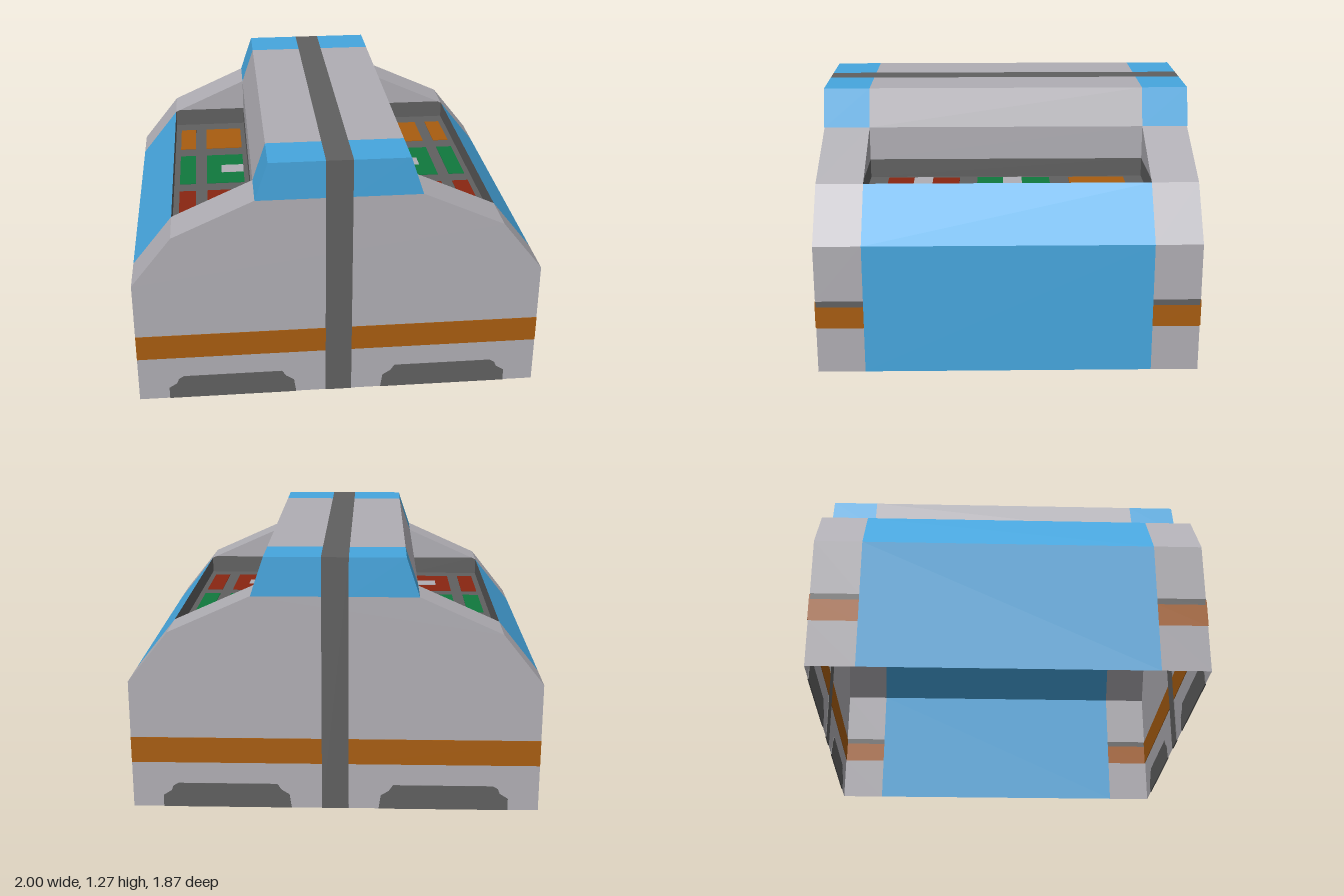
import * as THREE from 'three';

export function createModel() {
  const crate = new THREE.Group();
  crate.name = 'crate';

  const mat = (name, color) => {
    const m = new THREE.MeshStandardMaterial({ color, side: THREE.DoubleSide });
    m.name = name;
    return m;
  };
  const grey = mat('lightGrey', 0xb0aeb4);
  const dark = mat('darkGrey', 0x606060);
  const blue = mat('blue', 0x46a6de);
  const orange = mat('orange', 0xa85d10);
  const green = mat('green', 0x10793e);
  const red = mat('red', 0x892611);

  const HALF = 0.93, INNER = 0.7, FLOOR = 0.815, LIP = 0.91, T = 0.006;

  const add = (parent, name, geometry, material) => {
    const mesh = new THREE.Mesh(geometry, material);
    mesh.name = name;
    parent.add(mesh);
    return mesh;
  };

  // Open sheet swept along z through profile points, on both sides of x = 0
  const strip = (name, pts, z0, z1, material) => {
    const v = [];
    for (const s of [1, -1]) {
      for (let i = 0; i + 1 < pts.length; i++) {
        const [a, b] = [pts[i], pts[i + 1]];
        const q = [[s * a[0], a[1], z1], [s * a[0], a[1], z0], [s * b[0], b[1], z0], [s * b[0], b[1], z1]];
        const order = s > 0 ? [0, 1, 2, 0, 2, 3] : [0, 2, 1, 0, 3, 2];
        order.forEach((k) => v.push(...q[k]));
      }
    }
    const g = new THREE.BufferGeometry();
    g.setAttribute('position', new THREE.Float32BufferAttribute(v, 3));
    g.computeVertexNormals();
    add(crate, name, g, material);
  };

  const shape = (pts) => new THREE.Shape(pts.map(([x, y]) => new THREE.Vector2(x, y)));
  const mirror = (pts) => pts.map(([x, y]) => [-x, y]).reverse();

  // Thin painted plate centred in the wall so that it shows on both faces
  const plate = (parent, name, pts, material) => {
    const g = new THREE.ExtrudeGeometry(shape(pts), { depth: T, bevelEnabled: false });
    g.translate(0, 0, -T / 2);
    return add(parent, name, g, material);
  };

  // Front and back walls with their painted bands
  const half = [[1, 0], [1, 0.65], [0.8, 0.9], [0.4, 1.08], [0.335, 1.27]];
  const band = [[0.065, 0.235], [1, 0.235], [1, 0.365], [0.065, 0.365]];
  const cap = [[0.065, 1.08], [0.4, 1.08], [0.335, 1.27], [0.065, 1.27]];
  const foot = [[0.215, 0], [0.85, 0], [0.85, 0.06], [0.81, 0.085], [0.8, 0.11], [0.775, 0.125],
    [0.285, 0.125], [0.265, 0.095], [0.225, 0.07]];
  for (const s of [1, -1]) {
    const end = new THREE.Group();
    end.name = s > 0 ? 'frontWall' : 'backWall';
    end.position.z = s * HALF;
    if (s < 0) end.rotation.y = Math.PI;
    crate.add(end);
    add(end, 'wallPanel', new THREE.ShapeGeometry(shape([...half, ...mirror(half)])), grey);
    plate(end, 'centreStripe', [[-0.065, 0], [0.065, 0], [0.065, 1.27], [-0.065, 1.27]], dark);
    for (const side of [(p) => p, mirror]) {
      plate(end, 'wallBand', side(band), orange);
      plate(end, 'topCap', side(cap), blue);
      plate(end, 'footRecess', side(foot), dark);
    }
  }

  // End frames
  for (const [z0, z1] of [[INNER, HALF], [-HALF, -INNER]]) {
    strip('frameBase', [[1, 0], [1, 0.23]], z0, z1, grey);
    strip('frameBand', [[1, 0.23], [1, 0.34]], z0, z1, orange);
    strip('frameGroove', [[1, 0.34], [1, 0.37]], z0, z1, dark);
    strip('frameShoulder', [[1, 0.37], ...half.slice(1, 4)], z0, z1, grey);
    strip('frameCap', [[0.4, 1.08], [0.335, 1.27], [0.065, 1.27]], z0, z1, blue);
  }

  // Middle section: side panels, sunken trays and the raised spine
  strip('sidePanel', [[1, 0], [1, 0.65], [0.8, 0.9]], -INNER, INNER, blue);
  strip('tray', [[0.8, 0.9], [0.8, FLOOR], [0.4, FLOOR], [0.4, LIP]], -INNER, INNER, dark);
  strip('spine', [[0.4, LIP], [0.4, 1.08], [0.335, 1.27], [0.065, 1.27]], -INNER, INNER, grey);
  strip('topStripe', [[0.065, 1.27], [0, 1.27]], -HALF, HALF, dark);

  // Tray end walls
  const low = [[0.4, FLOOR], [0.8, FLOOR], [0.8, 0.9], [0.778, LIP], [0.4, LIP]];
  const high = [[0.4, LIP], [0.778, LIP], [0.4, 1.08]];
  for (const z of [INNER, -INNER]) {
    for (const side of [(p) => p, mirror]) {
      for (const [name, pts, m] of [['trayEndLower', low, dark], ['trayEndUpper', high, grey]]) {
        const mesh = add(crate, name, new THREE.ShapeGeometry(shape(side(pts))), m);
        mesh.position.z = z;
        if (z > 0) {
          mesh.rotation.y = Math.PI;
        }
      }
    }
  }

  // Coloured tiles in the trays, some with a light tab
  const tile = (name, x0, x1, z0, z1, t, material) => {
    for (const s of [1, -1]) {
      const mesh = add(crate, name, new THREE.BoxGeometry(x1 - x0, t, z1 - z0), material);
      mesh.position.set(s * (x0 + x1) / 2, FLOOR, (z0 + z1) / 2);
    }
  };
  const rows = [[-0.605, -0.32, orange], [-0.22, 0.15, green], [0.24, 0.605, red]];
  for (const [z0, z1, m] of rows) {
    tile('largeTile', 0.425, 0.625, z0, z1, T, m);
    tile('smallTile', 0.685, 0.77, z0, z1, T, m);
    if (m !== orange) {
      const c = m === green ? -0.03 : 0.425;
      tile('tileTab', 0.425, 0.545, c - 0.048, c + 0.048, T + 0.003, grey);
    }
  }

  return crate;
}
